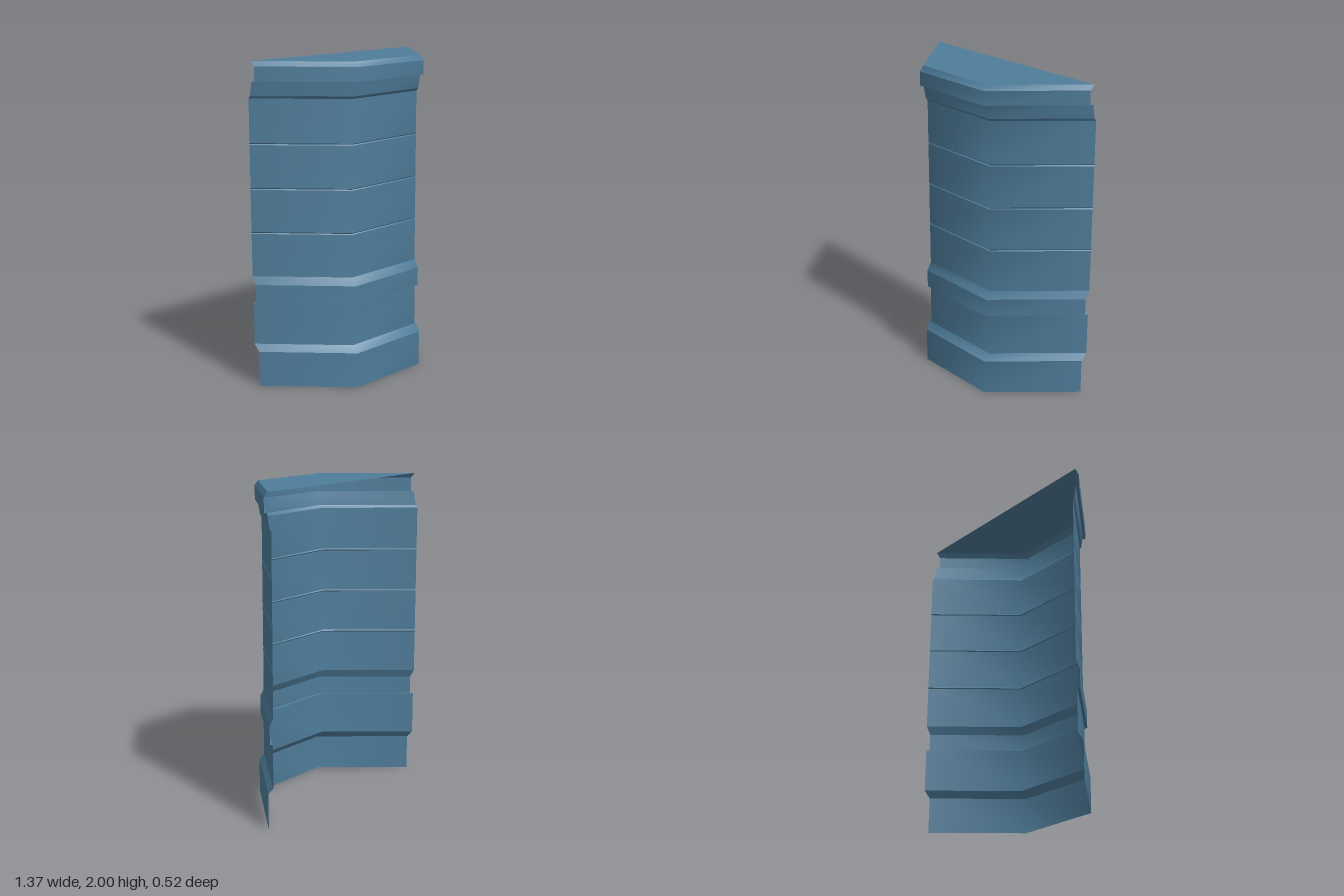
import * as THREE from 'three';

// Plan of the bay: x and depth behind the front panel
const plan = [[-0.685, -0.457], [-0.284, 0], [0.284, 0], [0.685, -0.457]];

// One band of the wall between two heights, smooth around the corners
function bandGeometry([z0, y0], [z1, y1]) {
  const positions = [], index = [];
  for (const [x, d] of plan) positions.push(x, y0, z0 + d, x, y1, z1 + d);
  for (let i = 0; i < plan.length - 1; i++) {
    const a = i * 2;
    index.push(a, a + 2, a + 3, a, a + 3, a + 1);
  }
  const g = new THREE.BufferGeometry();
  g.setAttribute('position', new THREE.Float32BufferAttribute(positions, 3));
  g.setIndex(index);
  g.computeVertexNormals();
  return g;
}

export function createModel() {
  const group = new THREE.Group();
  group.name = 'bayFront';
  const paint = new THREE.MeshStandardMaterial({ color: 0x4f7d9b, side: THREE.DoubleSide });
  paint.name = 'slate blue paint';

  const add = (name, geometry) => {
    const mesh = new THREE.Mesh(geometry, paint);
    mesh.name = name;
    group.add(mesh);
  };
  // Profiles are [front z, y] points from bottom to top
  const addBands = (name, profile) => {
    for (let i = 0; i < profile.length - 1; i++) {
      add(name + (i + 1), bandGeometry(profile[i], profile[i + 1]));
    }
  };

  // Plinth with sloped top, and the dado above it
  addBands('plinth', [[0.248, 0], [0.248, 0.222], [0.207, 0.265]]);
  addBands('dado', [[0.207, 0.265], [0.207, 0.533]]);

  // Sill: underside, face and sloped top
  addBands('sill', [[0.207, 0.533], [0.232, 0.533], [0.232, 0.647], [0.203, 0.697]]);

  // Wall courses separated by fine V grooves
  const wall = [[0.203, 0.697]];
  for (const y of [0.968, 1.239, 1.51]) {
    wall.push([0.203, y - 0.006], [0.197, y], [0.203, y + 0.006]);
  }
  wall.push([0.203, 1.78]);
  addBands('wallCourse', wall);

  // Cornice flare, overhang, face and sloped edge
  addBands('cornice', [[0.203, 1.78], [0.217, 1.797], [0.233, 1.883], [0.258, 1.883], [0.258, 1.97], [0.23, 2]]);

  // Flat roof cap
  const zTop = 0.23;
  const shape = new THREE.Shape(plan.map(([x, d]) => new THREE.Vector2(x, -(zTop + d))));
  add('roofCap', new THREE.ShapeGeometry(shape).rotateX(-Math.PI / 2).translate(0, 2, 0));

  return group;
}
